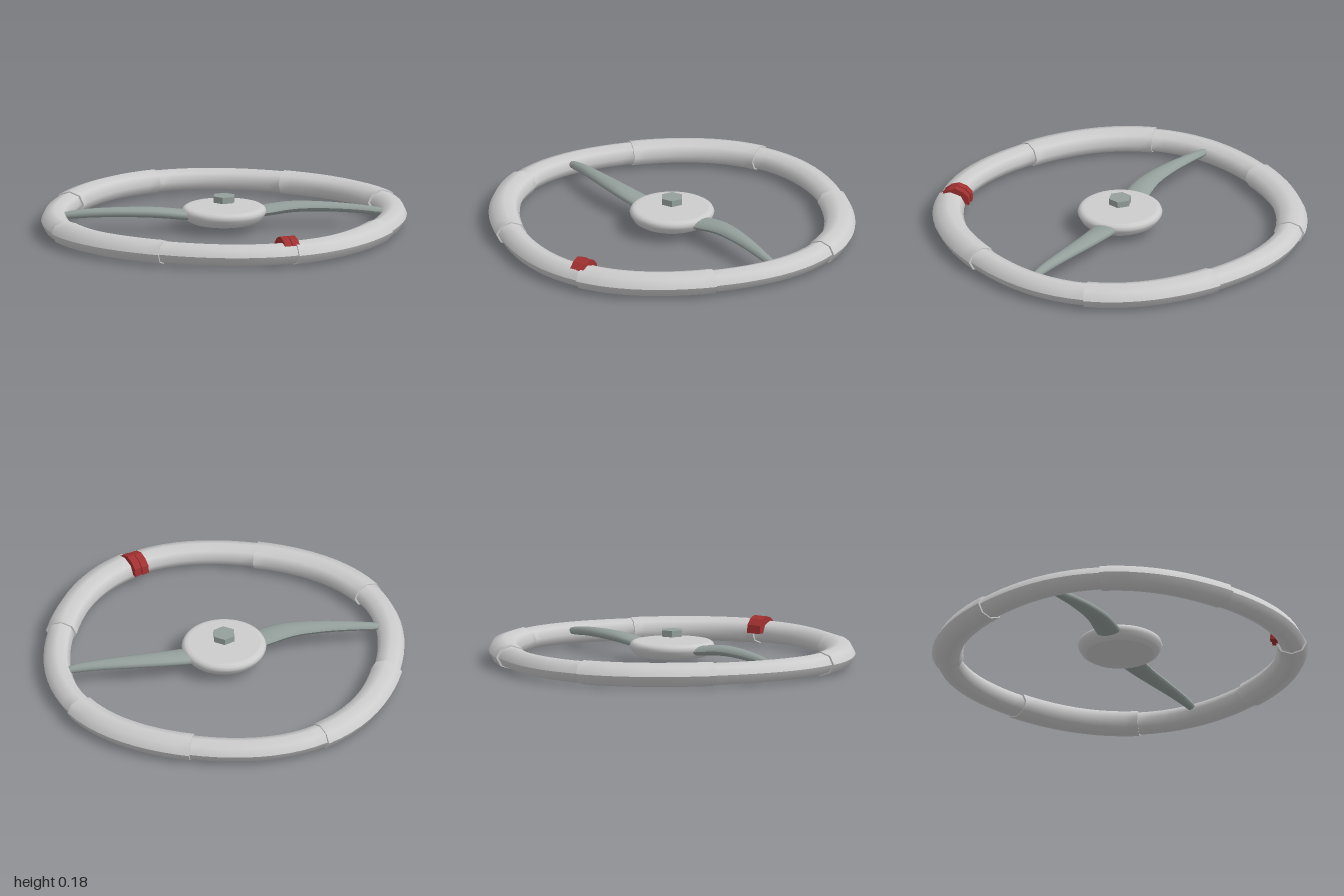
import * as THREE from 'three';

// Skin a list of equal-length rings and close both ends with flat caps.
function loft(rings) {
  const pos = [], index = [], n = rings[0].length;
  rings.forEach(ring => ring.forEach(p => pos.push(...p)));
  for (let i = 0; i < rings.length - 1; i++) {
    for (let j = 0; j < n - 1; j++) {
      const a = i * n + j, b = a + n;
      index.push(a, b, b + 1, a, b + 1, a + 1);
    }
  }
  [rings[0], rings[rings.length - 1]].forEach((ring, end) => {
    const s = pos.length / 3;
    ring.forEach(p => pos.push(...p));
    for (let j = 1; j < n - 2; j++) {
      if (end) index.push(s, s + j + 1, s + j);
      else index.push(s, s + j, s + j + 1);
    }
  });
  const g = new THREE.BufferGeometry();
  g.setAttribute('position', new THREE.Float32BufferAttribute(pos, 3));
  g.setIndex(index);
  g.computeVertexNormals();
  return g;
}

// Curved eighth of the rim; the repeated first point keeps the outer edge sharp.
function rimSegment(start, halfWidth, halfHeight) {
  const rings = [];
  for (let i = 0; i <= 10; i++) {
    const phi = start + (i / 10) * Math.PI / 4;
    const radius = 0.8985 + 0.0185 * Math.cos(4 * phi);
    const ring = [];
    for (let j = 0; j <= 8; j++) {
      const t = j * Math.PI / 4;
      const r = radius + halfWidth * Math.cos(t);
      ring.push([r * Math.cos(phi), 0.065 + halfHeight * Math.sin(t), -r * Math.sin(phi)]);
    }
    rings.push(ring);
  }
  return loft(rings);
}

// Tapered, arched spoke swept along x: [x, y, z, halfWidth, halfHeight]
function spokeGeometry() {
  const stations = [
    [0.15, 0.085, 0.025, 0.07, 0.025], [0.21, 0.09, 0.04, 0.069, 0.027],
    [0.35, 0.106, 0.078, 0.061, 0.028], [0.51, 0.108, 0.15, 0.05, 0.026],
    [0.66, 0.1, 0.23, 0.037, 0.024], [0.75, 0.09, 0.277, 0.028, 0.022],
    [0.8, 0.084, 0.298, 0.02, 0.018],
  ];
  const centre = new THREE.CatmullRomCurve3(stations.map(s => new THREE.Vector3(s[0], s[1], s[2])));
  const size = new THREE.CatmullRomCurve3(stations.map(s => new THREE.Vector3(s[3], s[4], 0)));
  const rings = [];
  for (let i = 0; i <= 18; i++) {
    const c = centre.getPoint(i / 18), s = size.getPoint(i / 18), ring = [];
    for (let j = 0; j <= 12; j++) {
      const t = j * Math.PI / 6;
      ring.push([c.x, c.y + s.y * Math.sin(t), c.z + s.x * Math.cos(t)]);
    }
    rings.push(ring);
  }
  return loft(rings);
}

// Lathe built in separate strips where the profile has a hard edge.
function hubParts() {
  const dish = [[0.18, 0.045], [0.205, 0.06], [0.22, 0.085], [0.225, 0.1], [0.219, 0.115], [0.205, 0.124], [0.188, 0.124]];
  return [[[0, 0.045], [0.18, 0.045]], dish, [[0.188, 0.124], [0, 0.124]]]
    .map(p => new THREE.LatheGeometry(p.map(([x, y]) => new THREE.Vector2(x, y)), 48));
}

export function createModel() {
  const grip = new THREE.MeshStandardMaterial({ color: 0xcccccc });
  grip.name = 'pale grey grip';
  const metal = new THREE.MeshStandardMaterial({ color: 0x949f9b });
  metal.name = 'grey green metal';
  const red = new THREE.MeshStandardMaterial({ color: 0xa03030 });
  red.name = 'red marker';

  const model = new THREE.Group();
  model.name = 'steeringWheel';
  const add = (name, geometry, material, parent = model) => {
    const mesh = new THREE.Mesh(geometry, material);
    mesh.name = name;
    parent.add(mesh);
    return mesh;
  };

  // Rim: four thick and four slimmer grips, alternating
  const rim = new THREE.Group();
  rim.name = 'rim';
  model.add(rim);
  for (let k = 0; k < 4; k++) {
    add('thickGrip', rimSegment(k * Math.PI / 2, 0.083, 0.065), grip, rim);
    add('slimGrip', rimSegment(k * Math.PI / 2 + Math.PI / 4, 0.071, 0.059), grip, rim);
  }

  // Hub with flat faces and rounded edge
  const hub = new THREE.Group();
  hub.name = 'hub';
  model.add(hub);
  ['hubBase', 'hubEdge', 'hubTop'].forEach((name, i) => add(name, hubParts()[i], grip, hub));

  // Hexagonal centre nut, just clear of the hub
  const nut = add('centreNut', new THREE.CylinderGeometry(0.062, 0.062, 0.034, 6).toNonIndexed(), metal);
  nut.geometry.computeVertexNormals();
  nut.rotation.y = Math.PI / 6;
  nut.position.y = 0.166;

  // Two spokes, opposite each other
  const spoke = spokeGeometry();
  for (let k = 0; k < 2; k++) add('spoke', spoke, metal).rotation.y = k * Math.PI;

  // Red marker: two bands folded over the inner and top side of the rim
  const outline = [[-0.96, 0.112], [-0.925, 0.14], [-0.885, 0.152], [-0.845, 0.138], [-0.815, 0.108],
    [-0.81, 0.065], [-0.845, 0.065], [-0.87, 0.1], [-0.92, 0.112]];
  const shape = new THREE.Shape(outline.map(([z, y]) => new THREE.Vector2(z, y)));
  [-0.062, -0.02].forEach((x, i) => {
    const band = add('markerBand', new THREE.ExtrudeGeometry(shape, { depth: 0.04, bevelEnabled: false }), red);
    band.rotation.y = Math.PI / 2;
    band.position.set(x, 0, i * 0.006 - 0.003);
  });

  return model;
}
